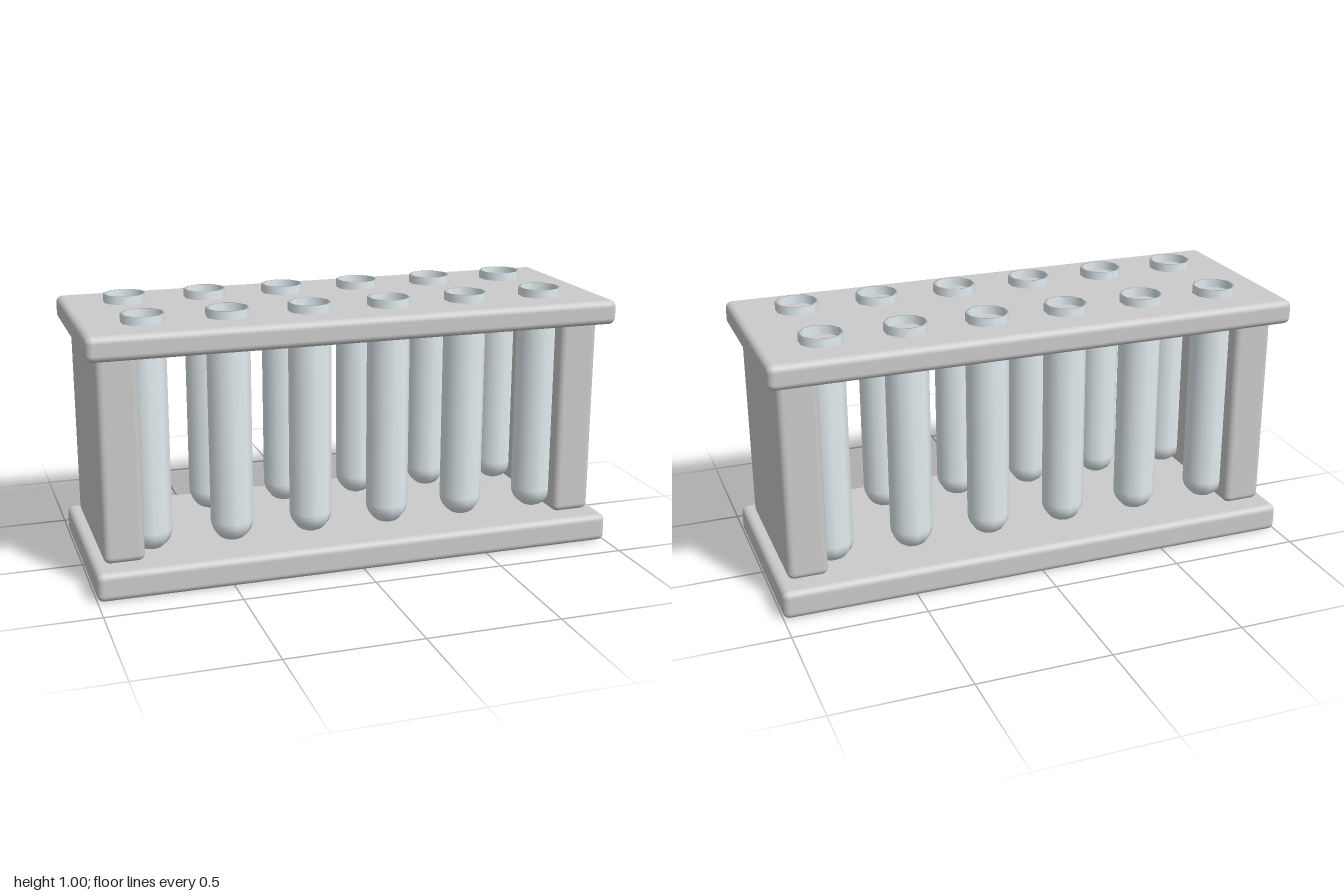
import * as THREE from 'three';
import { RoundedBoxGeometry } from 'three/addons/geometries/RoundedBoxGeometry.js';

const frameMaterial = new THREE.MeshStandardMaterial({ color: 0xcccccc });
const glassMaterial = new THREE.MeshStandardMaterial({ color: 0xe3edf1, side: THREE.DoubleSide });

// Rounded block given by its lower and upper heights
function block(name, width, depth, bottom, top, x = 0) {
  const geometry = new RoundedBoxGeometry(width, top - bottom, depth, 3, 0.025);
  const mesh = new THREE.Mesh(geometry, frameMaterial);
  mesh.name = name;
  mesh.position.set(x, (bottom + top) / 2, 0);
  return mesh;
}

// Hollow, open tube with a hemispherical bottom
function tubeGeometry(radius, wall, height) {
  const profile = [];
  const steps = 6;
  for (let i = 0; i <= steps; i++) {
    const a = (i / steps) * Math.PI / 2;
    profile.push(new THREE.Vector2(radius * Math.sin(a), radius * (1 - Math.cos(a))));
  }
  profile.push(new THREE.Vector2(radius, height), new THREE.Vector2(radius - wall, height));
  for (let i = steps; i >= 0; i--) {
    const a = (i / steps) * Math.PI / 2;
    profile.push(new THREE.Vector2((radius - wall) * Math.sin(a), radius - (radius - wall) * Math.cos(a)));
  }
  return new THREE.LatheGeometry(profile, 10);
}

export function createModel() {
  const group = new THREE.Group();
  group.name = 'testTubeRack';

  // Frame: base, top plate and two end panels
  group.add(block('base', 2, 0.77, 0, 0.108));
  group.add(block('topPlate', 2, 0.77, 0.872, 0.964));
  group.add(block('leftPanel', 0.15, 0.614, 0.11, 0.93, 0.885));
  group.add(block('rightPanel', 0.15, 0.614, 0.11, 0.93, -0.885));

  // Two rows of six tubes standing through the top plate
  const bottom = 0.11;
  const geometry = tubeGeometry(0.08, 0.007, 0.995 - bottom);
  for (const z of [-0.185, 0.185]) {
    for (let i = 0; i < 6; i++) {
      const tube = new THREE.Mesh(geometry, glassMaterial);
      tube.name = 'testTube';
      tube.position.set((i - 2.5) * 0.307, bottom, z);
      group.add(tube);
    }
  }
  return group;
}
